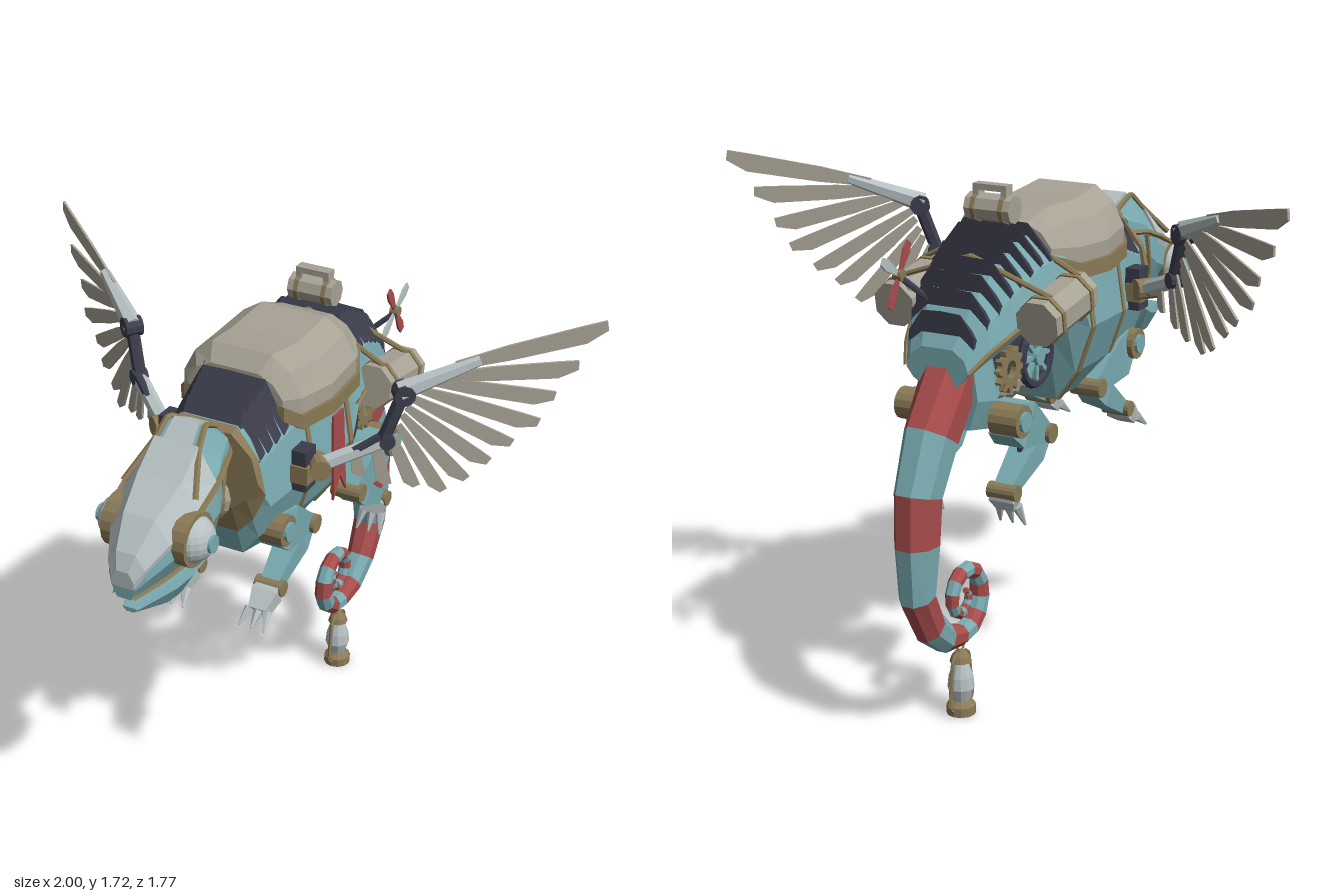
import * as THREE from 'three';

const TEAL = 0x78aab0, RED = 0xa84c4c, TAN = 0x8a7a56, DARK = 0x3c3d4c, CREAM = 0xa7a294, PALE = 0xb6c0c2;
const mats = {};
const mat = c => mats[c] ??= new THREE.MeshStandardMaterial({ color: c, flatShading: true });
const V = (x, y, z) => new THREE.Vector3(x, y, z);

// Half outlines (width factor, height factor) and body/saddle/head stations (z, bottom, top, half width)
const BODY_HALF = [[0.5, 0], [0.78, 0.16], [1, 0.42], [0.87, 0.75], [0.5, 1]];
const BODY = [[0.39, 1.17, 1.45, 0.18], [0.34, 1, 1.47, 0.2], [0.2, 0.98, 1.54, 0.225], [0, 0.97, 1.57, 0.245],
  [-0.14, 0.97, 1.57, 0.245], [-0.2, 1.2, 1.56, 0.24], [-0.35, 1.24, 1.53, 0.215], [-0.5, 1.19, 1.45, 0.185],
  [-0.6, 1.16, 1.36, 0.15], [-0.67, 1.13, 1.25, 0.11]];
const HEAD_HALF = [[0.6, 0], [1, 0.4], [0.95, 0.7], [0.5, 1]];
const HEAD = [[0.42, 1.38, 1.48, 0.1], [0.5, 1.2, 1.52, 0.125], [0.56, 1.15, 1.47, 0.145], [0.66, 1.14, 1.4, 0.145],
  [0.78, 1.13, 1.33, 0.105], [0.86, 1.12, 1.25, 0.065], [0.885, 1.11, 1.2, 0.04]];

function bodyAt(z) {
  let i = 0;
  while (i < BODY.length - 2 && z < BODY[i + 1][0]) i++;
  const a = BODY[i], b = BODY[i + 1], t = (a[0] - z) / (a[0] - b[0]);
  return a.map((v, k) => v + (b[k] - v) * t);
}

const ring = (half, [z, yb, yt, w], grow = 1) => {
  const m = (yb + yt) / 2;
  const r = half.map(([a, b]) => V(a * w * grow, m + (yb + b * (yt - yb) - m) * grow, z));
  return [...r, ...r.map(p => V(-p.x, p.y, z)).reverse()];
};

// Closed solid through equal-sized rings, turned outward by its signed volume
function loft(rings) {
  const n = rings[0].length, pts = rings.flat(), tris = [];
  for (let i = 0; i < rings.length - 1; i++) for (let j = 0; j < n; j++) {
    const a = i * n + j, b = i * n + (j + 1) % n;
    tris.push([a, b, b + n], [a, b + n, a + n]);
  }
  const last = (rings.length - 1) * n;
  for (let j = 1; j < n - 1; j++) tris.push([0, j + 1, j], [last, last + j, last + j + 1]);
  let vol = 0;
  for (const [a, b, c] of tris) vol += pts[a].clone().sub(pts[0]).dot(pts[b].clone().sub(pts[0]).cross(pts[c].clone().sub(pts[0])));
  const idx = tris.flatMap(([a, b, c]) => vol < 0 ? [a, c, b] : [a, b, c]);
  const g = new THREE.BufferGeometry().setFromPoints(idx.map(i => pts[i]));
  g.computeVertexNormals();
  return g;
}

export function createModel() {
  const root = new THREE.Group();
  root.name = 'mechanicalLizard';
  const add = (name, geo, color, pos = [0, 0, 0], rot = [0, 0, 0]) => {
    const m = new THREE.Mesh(geo, mat(color));
    m.name = name;
    m.position.set(...pos);
    m.rotation.set(...rot);
    root.add(m);
    return m;
  };
  const strut = (name, a, b, r, color, r2 = r, sides = 6) => {
    const d = b.clone().sub(a), m = add(name, new THREE.CylinderGeometry(r2, r, d.length(), sides), color);
    m.position.copy(a).addScaledVector(d, 0.5);
    m.quaternion.setFromUnitVectors(V(0, 1, 0), d.normalize());
    return m;
  };
  const tube = (name, pts, r, color) => add(name, new THREE.TubeGeometry(
    new THREE.CatmullRomCurve3(pts.map(p => V(...p)), false, 'catmullrom', 0.15), pts.length * 5, r, 5), color);
  const disc = (name, x, y, z, r, len, color, sides = 14) =>
    add(name, new THREE.CylinderGeometry(r, r, len, sides), color, [x, y, z], [0, 0, Math.PI / 2]);
  // Flat tapered limb in a side plane, from (z, y) to (z, y)
  const limb = (name, x, a, b, ha, hb, hx, color) => {
    const l = Math.hypot(b[0] - a[0], b[1] - a[1]), nz = -(b[1] - a[1]) / l, ny = (b[0] - a[0]) / l;
    const sec = (p, h, k) => [[-k, -1], [k, -1], [k, 1], [-k, 1]].map(([i, j]) => V(x + i * hx, p[1] + j * h * ny, p[0] + j * h * nz));
    const mid = [a[0] * 0.7 + b[0] * 0.3, a[1] * 0.7 + b[1] * 0.3];
    return add(name, loft([sec(a, ha * 0.7, 0.8), sec(mid, ha, 1), sec(b, hb, 0.7)]), color);
  };

  // Body shell, bands and spine fins
  add('bodyShell', loft(BODY.map(s => ring(BODY_HALF, s))), TEAL);
  const hoop = (name, z, half, grow, color) =>
    add(name, loft([z + half, z - half].map(k => ring(BODY_HALF, [k, ...bodyAt(k).slice(1)], grow))), color);
  hoop('collar', 0.385, 0.014, 1.06, TAN);
  hoop('chestBand', 0.12, 0.01, 1.02, TAN);
  hoop('bellyBand', -0.12, 0.012, 1.025, TAN);
  const finZ = [0.34, 0.3, 0.26, 0.22, ...Array.from({ length: 8 }, (_, i) => -0.29 - i * 0.048)];
  for (const z of finZ) {
    const [, yb, yt, w] = bodyAt(z);
    add('spineFin', loft([[-0.85, 0.78, 0], [-0.5, 1, 0.9], [0, 1, 1], [0.5, 1, 0.9], [0.85, 0.78, 0]].map(([a, b, h]) => {
      const y = yb + b * (yt - yb);
      return [V(a * w, y - 0.01, z + 0.02), V(a * w, y + 0.005 + h * 0.035, z - 0.018), V(a * w, y - 0.03, z - 0.02)];
    })), DARK);
  }

  // Saddle pack and rear roll
  const SADDLE = [[0.21, 1.45, 1.57, 0.17], [0.16, 1.41, 1.62, 0.21], [0, 1.4, 1.6, 0.235], [-0.18, 1.41, 1.61, 0.23], [-0.28, 1.45, 1.57, 0.18]];
  add('saddlePack', loft(SADDLE.map(s => ring([[1, 0], [1, 0.4], [0.8, 0.78], [0.5, 1]], s))), CREAM);
  add('saddleRim', loft(SADDLE.map(([z, b, , w]) => ring([[1, 0], [1, 1]], [z * 1.03, b - 0.02, b + 0.03, w * 1.05]))), TAN);
  add('rearRoll', new THREE.CylinderGeometry(0.045, 0.045, 0.16, 8), CREAM, [0, 1.62, -0.33], [0, 0, Math.PI / 2]);
  add('rollHandle', new THREE.BoxGeometry(0.12, 0.02, 0.04), CREAM, [0, 1.685, -0.33]);
  for (const x of [-0.05, 0.05]) {
    disc('rollStrap', x, 1.62, -0.33, 0.049, 0.015, TAN, 8);
    add('handlePost', new THREE.BoxGeometry(0.02, 0.05, 0.04), CREAM, [x, 1.665, -0.33]);
  }

  // Head, face plate and jaw
  add('head', loft(HEAD.map(s => ring(HEAD_HALF, s))), TEAL);
  add('facePlate', loft(HEAD.slice(2).map(([z, b, t, w]) => ring([[0.9, 0.45], [0.99, 0.7], [0.52, 1.05]], [z + 0.004, b, t, w]))), PALE);
  add('crestPlate', loft(HEAD.slice(0, 3).map(([z, , t, w]) => ring([[1, 0], [1, 1]], [z, t - 0.02, t + 0.01, w * 0.35]))), PALE);
  add('lowerJaw', loft([[0.54, 1.09, 1.15, 0.09], [0.57, 1.04, 1.13, 0.1], [0.63, 1, 1.11, 0.09], [0.7, 1, 1.09, 0.075], [0.855, 1.045, 1.06, 0.025]]
    .map(s => ring([[0.5, 0], [1, 0.7], [0.9, 1]], s))), TEAL);
  for (let i = 0; i < 5; i++) add('neckRing', new THREE.TorusGeometry(0.07, 0.022, 6, 14), i % 2 ? TAN : CREAM, [0, 1.245 - i * 0.006, 0.54 - i * 0.035]);
  strut('neckCore', V(0, 1.25, 0.56), V(0, 1.22, 0.35), 0.075, CREAM, 0.075, 12);

  // Tail: tapered bands, then a coil
  const path = [[-0.58, 1.16, 0.09, 0.085], [-0.71, 0.98, 0.1, 0.075], [-0.79, 0.815, 0.088, 0.065], [-0.8, 0.66, 0.08, 0.062],
    [-0.805, 0.49, 0.06, 0.052], [-0.735, 0.365, 0.055, 0.045], [-0.65, 0.295, 0.045, 0.04]];
  for (let i = 0; i <= 18; i++) {
    const a = -0.2 + i * 0.5, r = 0.122 - 0.0115 * a, h = 0.034 - i * 0.0014;
    path.push([-0.535 + r * Math.sin(a), 0.395 - r * Math.cos(a), h, h]);
  }
  const tailRing = i => {
    const p = path[i], a = path[Math.max(i - 1, 0)], b = path[Math.min(i + 1, path.length - 1)];
    const l = Math.hypot(b[0] - a[0], b[1] - a[1]), nz = -(b[1] - a[1]) / l, ny = (b[0] - a[0]) / l;
    return Array.from({ length: 8 }, (_, k) => {
      const t = (k + 0.5) * Math.PI / 4, c = Math.cos(t) * p[2] * 1.08;
      return V(Math.sin(t) * p[3] * 1.08, p[1] + ny * c, p[0] + nz * c);
    });
  };
  for (let i = 0; i < path.length - 1; i++) add('tailBand', loft([tailRing(i), tailRing(i + 1)]), i % 2 ? TEAL : RED);

  // Hanging lantern
  const LZ = -0.555, lathe = pts => new THREE.LatheGeometry(pts.map(p => new THREE.Vector2(...p)), 12);
  add('lanternBase', lathe([[0, 0], [0.048, 0], [0.048, 0.03], [0.03, 0.045], [0, 0.05]]), TAN, [0, 0, LZ]);
  add('lanternGlass', lathe([[0, 0.04], [0.028, 0.045], [0.044, 0.09], [0.04, 0.13], [0.024, 0.18], [0, 0.185]]), PALE, [0, 0, LZ]);
  add('lanternCap', lathe([[0, 0.175], [0.036, 0.18], [0.03, 0.2], [0.018, 0.215], [0, 0.22]]), TAN, [0, 0, LZ]);
  for (const s of [-1, 1]) tube('lanternFrame', [[0, 0.02, LZ + s * 0.045], [0, 0.04, LZ + s * 0.07], [0, 0.19, LZ + s * 0.05], [0, 0.215, LZ + s * 0.015]], 0.006, TAN);
  add('lanternRing', new THREE.TorusGeometry(0.02, 0.004, 5, 12), TAN, [0, 0.235, LZ], [0, Math.PI / 2, 0]);

  // Inner works under the rear shell
  add('innerCore', new THREE.BoxGeometry(0.16, 0.16, 0.36), DARK, [0, 1.17, -0.36]);
  for (let i = 0; i < 8; i++) add('bellyRib', new THREE.TorusGeometry(0.055, 0.022, 6, 12), CREAM,
    [0, 1.1 - Math.sin(i / 7 * Math.PI) * 0.04, -0.16 - i * 0.042]);
  add('pelvis', loft([[-0.42, 1.02, 1.14, 0.08], [-0.5, 0.96, 1.2, 0.11], [-0.6, 0.98, 1.22, 0.1]].map(s => ring([[0.7, 0], [1, 0.4], [0.8, 1]], s))), TEAL);
  const gearShape = new THREE.Shape(Array.from({ length: 48 }, (_, i) => {
    const a = i / 48 * Math.PI * 2, r = i % 4 < 2 ? 0.075 : 0.058;
    return new THREE.Vector2(Math.cos(a) * r, Math.sin(a) * r);
  }));
  gearShape.holes.push(new THREE.Path().absarc(0, 0, 0.028, 0, Math.PI * 2, true));
  const gearGeo = new THREE.ExtrudeGeometry(gearShape, { depth: 0.02, bevelEnabled: false, curveSegments: 8 });

  // Wing feathers: root x, y and tip x, y and half width
  const FEATHERS = [[0.62, 1.6, 1, 1.69, 0.03], [0.59, 1.57, 0.93, 1.565, 0.028], [0.56, 1.55, 0.875, 1.46, 0.027], [0.53, 1.53, 0.835, 1.375, 0.026],
    [0.51, 1.5, 0.77, 1.305, 0.025], [0.5, 1.47, 0.71, 1.25, 0.025], [0.49, 1.44, 0.655, 1.19, 0.024], [0.48, 1.41, 0.595, 1.16, 0.023],
    [0.46, 1.38, 0.525, 1.18, 0.023], [0.42, 1.36, 0.45, 1.2, 0.022], [0.37, 1.34, 0.385, 1.235, 0.02]];

  for (const s of [-1, 1]) {
    // Eyes and head trim
    disc('eyeRim', s * 0.12, 1.25, 0.69, 0.088, 0.05, TAN, 18);
    add('eye', new THREE.SphereGeometry(0.078, 18, 12), PALE, [s * 0.118, 1.25, 0.69]);
    disc('pupil', s * 0.19, 1.25, 0.69, 0.028, 0.02, TEAL);
    disc('jawHinge', s * 0.11, 1.17, 0.585, 0.024, 0.06, TAN);
    tube('crestTrim', [[s * 0.052, 1.48, 0.42], [s * 0.064, 1.525, 0.5], [s * 0.075, 1.475, 0.56], [s * 0.125, 1.37, 0.67]], 0.01, TAN);
    tube('browTrim', [[s * 0.055, 1.48, 0.42], [s * 0.1, 1.41, 0.42], [s * 0.128, 1.4, 0.5], [s * 0.142, 1.37, 0.58], [s * 0.14, 1.33, 0.67]], 0.01, TAN);
    tube('cheekTrim', [[s * 0.128, 1.39, 0.5], [s * 0.128, 1.3, 0.52], [s * 0.105, 1.17, 0.56], [s * 0.09, 1.14, 0.66], [s * 0.068, 1.13, 0.78], [s * 0.03, 1.115, 0.885]], 0.009, TAN);
    tube('shellRail', [[s * 0.247, 1.33, -0.16], [s * 0.217, 1.35, -0.35], [s * 0.187, 1.29, -0.5], [s * 0.15, 1.24, -0.6], [s * 0.11, 1.18, -0.67]], 0.009, TAN);

    // Spoked wheel and gear
    add('wheelRim', new THREE.TorusGeometry(0.09, 0.015, 6, 20), DARK, [s * 0.13, 1.15, -0.29], [0, Math.PI / 2, 0]);
    disc('wheelHub', s * 0.13, 1.15, -0.29, 0.028, 0.04, TEAL);
    for (let i = 0; i < 4; i++) add('wheelSpoke', new THREE.BoxGeometry(0.015, 0.17, 0.014), TEAL, [s * 0.13, 1.15, -0.29], [i * Math.PI / 4, 0, 0]);
    add('gear', gearGeo, TAN, [s * 0.13 - 0.01, 1.15, -0.46], [0, Math.PI / 2, 0]);

    // Legs
    for (const [name, hip, knee, ankle, toe] of [['front', [0.26, 1.07], [0.03, 0.97], [0.25, 0.84], [0.33, 0.785]],
      ['hind', [-0.525, 1.01], [-0.31, 0.91], [-0.53, 0.775], [-0.505, 0.72]]]) {
      const x = s * 0.15;
      limb(name + 'Thigh', x, hip, knee, 0.075, 0.03, 0.055, TEAL);
      limb(name + 'Shin', x, knee, ankle, 0.04, 0.022, 0.045, TEAL);
      limb(name + 'Foot', x, ankle, toe, 0.03, 0.022, 0.045, PALE);
      disc(name + 'HipRing', s * 0.17, hip[1], hip[0], 0.052, 0.1, TAN);
      disc(name + 'HipCap', s * 0.18, hip[1], hip[0], 0.032, 0.1, TEAL);
      disc(name + 'KneeJoint', x, knee[1], knee[0], 0.032, 0.11, TAN);
      disc(name + 'AnkleJoint', x, ankle[1], ankle[0], 0.027, 0.1, TAN);
      strut(name + 'Piston', V(x, hip[1] - 0.06, hip[0] * 0.6 + knee[0] * 0.4), V(x, (knee[1] + ankle[1]) / 2, (knee[0] + ankle[0]) / 2), 0.01, DARK);
      const front = name === 'front';
      for (const k of [-1, 0, 1]) strut(name + 'Claw', V(x + k * 0.032, toe[1] + 0.005, toe[0]),
        V(x + k * 0.045, toe[1] - (front ? 0.035 : 0.065), toe[0] + (front ? 0.05 : 0.03)), 0.018, PALE, 0.004);
    }

    // Side bags with straps
    const bag = add('sideBag', new THREE.CylinderGeometry(0.075, 0.075, 0.27, 8), CREAM, [s * 0.255, 1.34, -0.375], [Math.PI / 2 - 0.17, 0, 0]);
    bag.rotateY(Math.PI / 8);
    for (const d of [-0.09, 0.09]) {
      const b = add('bagStrap', new THREE.CylinderGeometry(0.08, 0.08, 0.018, 8), TAN, [s * 0.255, 1.34 + d * 0.17, -0.375 + d], [Math.PI / 2 - 0.17, 0, 0]);
      b.rotateY(Math.PI / 8);
      strut('bagTie', V(s * 0.28, 1.41 + d * 0.17, -0.375 + d), V(0, 1.53 + d * 0.4, -0.375 + d), 0.009, TAN);
    }

    // Wings, lying in upright planes that sweep backward
    const W = (x, y, off = 0) => V(s * (x + 0.6 * off), y, 0.2 - 0.747 * (x - 0.25) + 0.8 * off);
    add('wingBracket', new THREE.BoxGeometry(0.05, 0.14, 0.07), DARK, [s * 0.24, 1.28, 0.2]);
    add('wingPlate', new THREE.BoxGeometry(0.06, 0.06, 0.085), TAN, [s * 0.245, 1.27, 0.2]);
    strut('shoulderPivot', W(0.28, 1.285, -0.035), W(0.28, 1.285, 0.04), 0.035, TAN, 0.035, 12);
    strut('upperWingArm', W(0.28, 1.285), W(0.45, 1.36), 0.026, PALE);
    strut('wingForearm', W(0.44, 1.35), W(0.49, 1.52), 0.022, DARK);
    strut('wingElbow', W(0.45, 1.36, -0.025), W(0.45, 1.36, 0.025), 0.026, DARK, 0.026, 10);
    strut('wingWrist', W(0.49, 1.52, -0.03), W(0.49, 1.52, 0.03), 0.034, DARK, 0.034, 10);
    strut('wingHand', W(0.48, 1.525), W(0.68, 1.615), 0.034, PALE, 0.018);
    strut('lowerWingBrace', W(0.3, 1.28), W(0.43, 1.38, 0.015), 0.014, DARK);
    FEATHERS.forEach(([x0, y0, x1, y1, w], i) => {
      const du = (x1 - x0) * 1.248, dy = y1 - y0, l = Math.hypot(du, dy), px = -dy / l / 1.248, py = du / l;
      add('feather', loft([[0, 0.45, 0.45], [0.35, 0.85, 0.85], [0.85, 1, 1], [1, 1, 0.1]].map(([t, up, lo]) =>
        [[up, -1], [up, 1], [-lo, 1], [-lo, -1]].map(([k, o]) =>
          W(x0 + (x1 - x0) * t + px * k * w, y0 + dy * t + py * k * w, o * 0.004 + (i % 2 - 0.5) * 0.008)))), CREAM);
    });
  }

  // Pennant on the left flank
  const cloth = new THREE.Shape([[-0.03, 1.38], [0.04, 1.38], [0.07, 1.07], [0.025, 1.14], [-0.02, 1.07]].map(p => new THREE.Vector2(...p)));
  add('pennant', new THREE.ExtrudeGeometry(cloth, { depth: 0.008, bevelEnabled: false }), RED, [0.25, 0, 0], [0, Math.PI / 2, 0]);

  // Small rear propeller
  strut('propellerShaft', V(0.06, 1.36, -0.58), V(0.16, 1.45, -0.63), 0.01, DARK);
  disc('propellerHub', 0.155, 1.45, -0.63, 0.018, 0.03, TAN, 10);
  for (let i = 0; i < 4; i++) {
    const a = [0.55, 2.15, 3.69, 5.29][i], p = r => [1.45 + Math.cos(a) * r, -0.63 + Math.sin(a) * r];
    const [y0, z0] = p(0.01), [y1, z1] = p(0.11);
    limb('propellerBlade', 0.155, [z1, y1], [z0, y0], 0.018, 0.007, 0.004, i % 2 ? PALE : RED);
  }
  return root;
}
